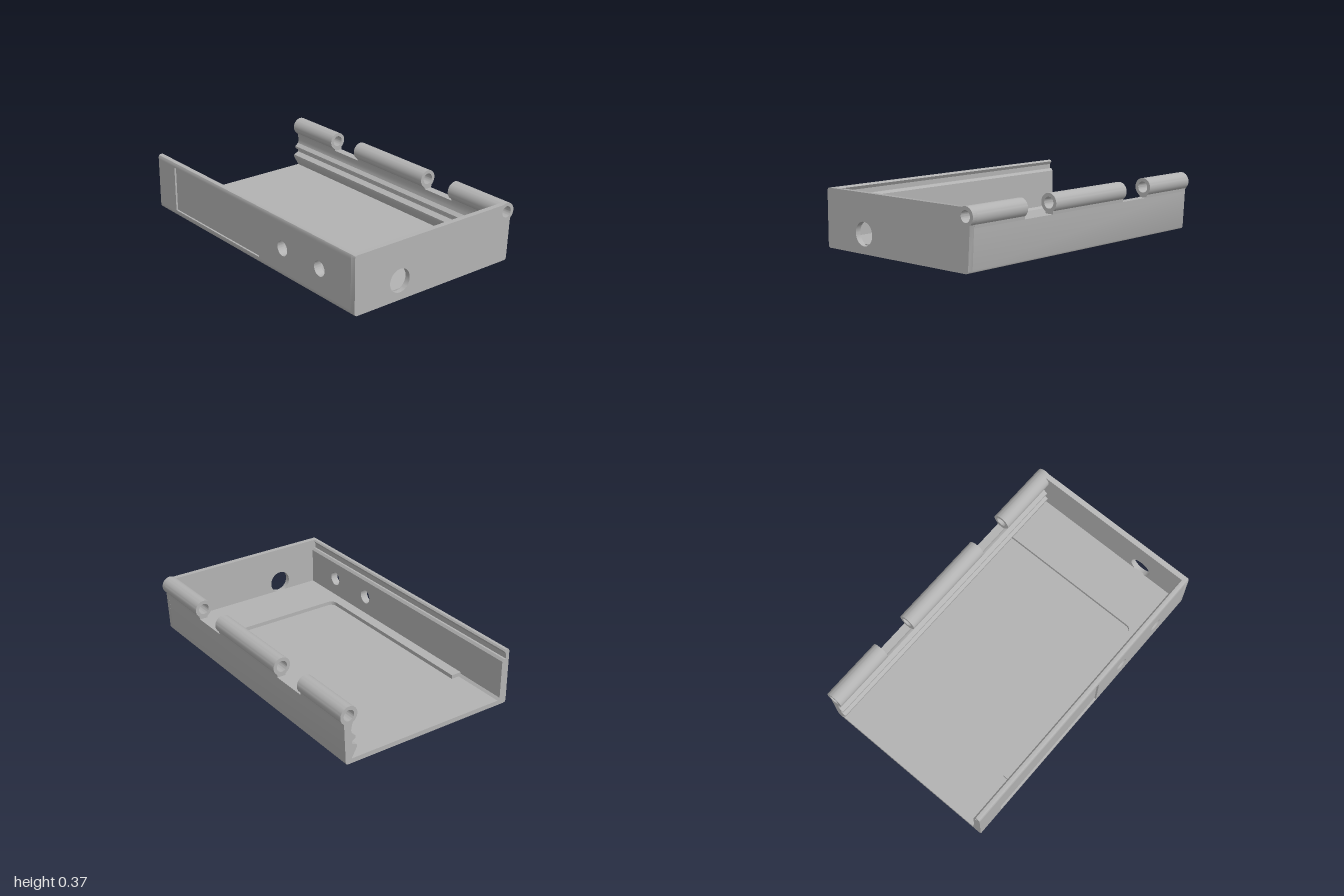
import * as THREE from 'three';
import { toCreasedNormals } from 'three/addons/utils/BufferGeometryUtils.js';

const HINGE = { z: -0.552, y: 0.315, r: 0.057, bore: 0.035 };
const INNER_X = 0.965; // inner face of the closed end

export function createModel() {
  const group = new THREE.Group();
  const plastic = new THREE.MeshStandardMaterial({ color: 0xb2b2b2 });
  plastic.name = 'grey plastic';

  const add = (name, geometry) => {
    const mesh = new THREE.Mesh(toCreasedNormals(geometry, 0.5), plastic);
    mesh.name = name;
    group.add(mesh);
  };
  const shapeOf = (pts) => new THREE.Shape(pts.map(([a, b]) => new THREE.Vector2(a, b)));
  const circle = (x, y, r) => new THREE.Path().absarc(x, y, r, 0, Math.PI * 2, true);
  const extrude = (shape, depth) =>
    new THREE.ExtrudeGeometry(shape, { depth, bevelEnabled: false, curveSegments: 24 });

  // Sweep a (z, y) profile along x; holes are [z, y, radius]
  const alongX = (name, pts, x0, x1, holes = []) => {
    const shape = shapeOf(pts.map(([z, y]) => [-z, y]));
    for (const [z, y, r] of holes) shape.holes.push(circle(-z, y, r));
    add(name, extrude(shape, x1 - x0).rotateY(Math.PI / 2).translate(x0, 0, 0));
  };

  // Rounded hinge outline, from the outer side over the top to the inner side
  const hingeArc = (from, to, steps = 32) => Array.from({ length: steps + 1 }, (_, i) => {
    const a = from + (to - from) * i / steps;
    return [HINGE.z + HINGE.r * Math.cos(a), HINGE.y + HINGE.r * Math.sin(a)];
  });
  const bore = [HINGE.z, HINGE.y, HINGE.bore];
  const frontBottom = [[0.61, 0.015], [0.6056, 0.0044], [0.595, 0]];
  const backBottom = [[-0.555, 0], [-0.5655, 0.0044], [-0.57, 0.015]];
  const frontTop = [[0.61, 0.35], [0.6056, 0.3606], [0.595, 0.365]];

  // Floor and leaning back wall with two inner ridges
  alongX('floorAndBackWall', [
    [0.61, 0.03], ...frontBottom, ...backBottom,
    [-0.583, 0.25], [-0.53, 0.25], [-0.536, 0.215], [-0.53, 0.19],
    [-0.505, 0.172], [-0.505, 0.158], [-0.53, 0.142], [-0.53, 0.127],
    [-0.495, 0.11], [-0.495, 0.095], [-0.53, 0.03],
    [0.545, 0.03], [0.56, 0.045], [0.57, 0.03],
  ], -1, INNER_X);

  // Hinge knuckles
  const knuckle = [[-0.53, 0.249], [-0.583, 0.249],
    ...hingeArc(Math.PI * 1.3, -Math.PI * 0.28), [-0.527, 0.262]];
  for (const [x0, x1] of [[-1, -0.58], [-0.34, 0.32], [0.56, INNER_X]]) {
    alongX('hingeKnuckle', knuckle, x0, x1, [bore]);
  }

  // Closed end wall with a cable hole and the hinge bore
  alongX('endWall', [
    ...frontBottom, ...backBottom, [-0.584, 0.265],
    ...hingeArc(Math.PI * 1.3, Math.PI * 0.34), ...frontTop.slice().reverse(),
  ], INNER_X, 1, [bore, [0.283, 0.12, 0.073]]);

  // Front wall in layers: the outer one is cut out to form the shallow panel recess
  const frontLayer = (name, top, z0, z1, recess) => {
    const shape = shapeOf([[-1, 0.03], [INNER_X, 0.03], [INNER_X, top], [-1, top]]);
    for (const x of [0.345, 0.69]) shape.holes.push(circle(x, 0.175, 0.047));
    if (recess) {
      shape.holes.push(shapeOf([[-0.81, 0.035], [-0.81, 0.33], [0.11, 0.33], [0.11, 0.035]]));
    }
    add(name, extrude(shape, z1 - z0).translate(0, 0, z0));
  };
  frontLayer('frontWallOuter', 0.335, 0.598, 0.61, true);
  frontLayer('frontWallCore', 0.335, 0.585, 0.598, false);
  frontLayer('frontWallInner', 0.29, 0.56, 0.585, false);

  // Rounded top rim and the sloped lid rest below it
  alongX('frontRim', [[0.61, 0.335], ...frontTop, [0.58, 0.365], [0.572, 0.355], [0.585, 0.335]],
    -1, INNER_X);
  alongX('lidRest', [[0.585, 0.29], [0.56, 0.29], [0.572, 0.305], [0.585, 0.305]], -1, INNER_X);

  // Raised L-shaped ledge on the floor
  const ledge = new THREE.Shape();
  ledge.moveTo(-0.645, -0.565);
  ledge.lineTo(0.97, -0.565);
  ledge.lineTo(0.97, 0.52);
  ledge.lineTo(0.62, 0.52);
  ledge.lineTo(0.62, -0.45);
  ledge.absarc(0.58, -0.45, 0.04, 0, -Math.PI / 2, true);
  ledge.lineTo(-0.645, -0.49);
  add('floorLedge', extrude(ledge, 0.03).rotateX(-Math.PI / 2).translate(0, 0.025, 0));

  return group;
}
